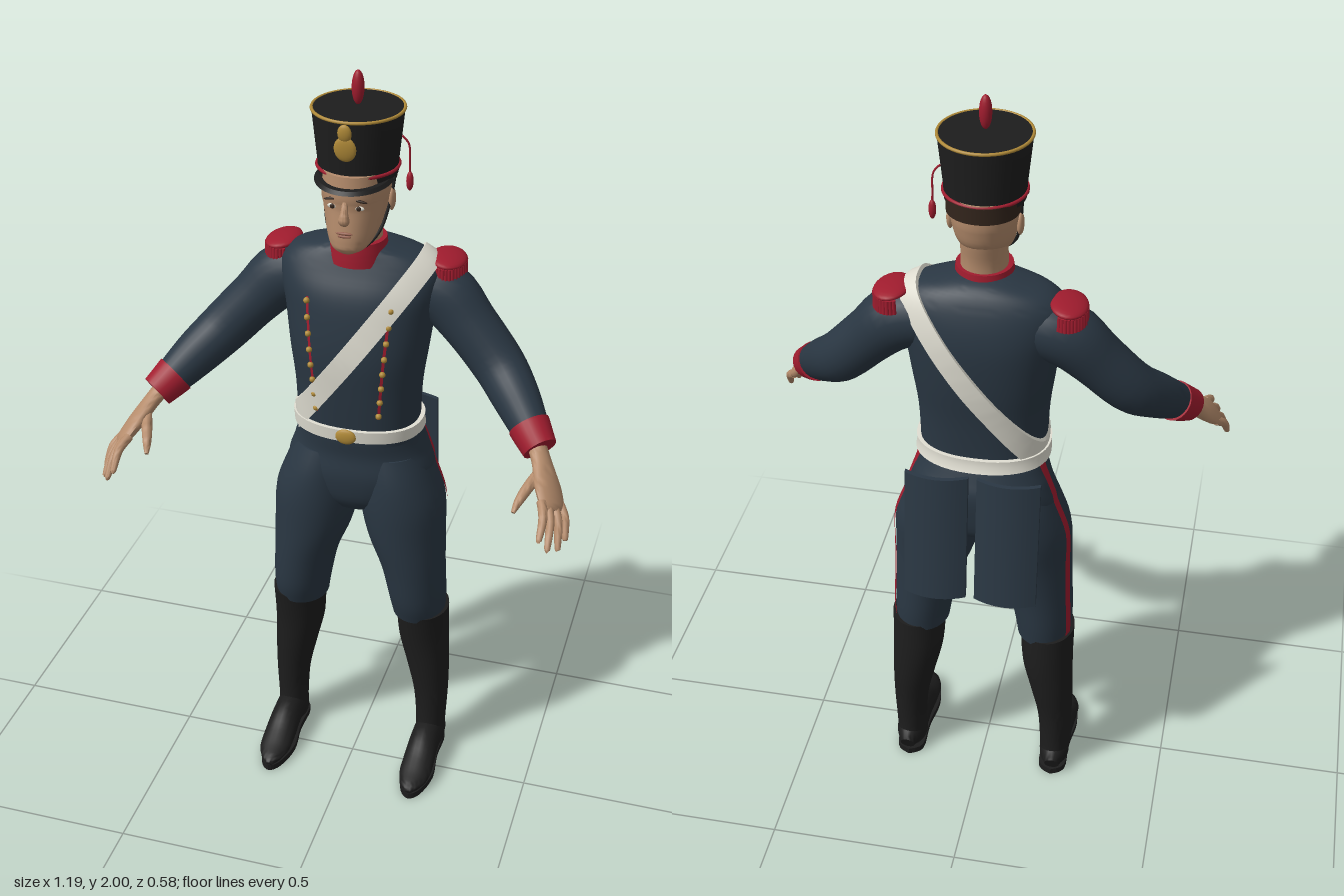
import * as THREE from 'three';
import { toCreasedNormals } from 'three/addons/utils/BufferGeometryUtils.js';

const V = (x, y, z) => new THREE.Vector3(x, y, z);
const mat = (name, color) => {
  const m = new THREE.MeshStandardMaterial({ color });
  m.name = name;
  return m;
};

export function createModel() {
  const navy = mat('navy cloth', 0x2a3743), red = mat('red trim', 0xa01c2e), black = mat('black leather', 0x1d1d1d);
  const white = mat('white leather', 0xe0ded2), gold = mat('brass', 0xb08a38), skin = mat('skin', 0xb58c6c);
  const lips = mat('lips', 0x94604e), hair = mat('dark hair', 0x33251c);

  const model = new THREE.Group();
  model.name = 'soldier';
  const left = new THREE.Group();
  left.name = 'leftSide';
  model.add(left);

  const add = (name, geo, m, pos, parent = model) => {
    const mesh = new THREE.Mesh(geo, m);
    mesh.name = name;
    if (pos) mesh.position.set(...pos);
    parent.add(mesh);
    return mesh;
  };

  // Surface through rows of points
  const skinRows = (rows, closed = true, crease = 0.9) => {
    const n = rows[0].length, idx = [];
    for (let i = 0; i < rows.length - 1; i++) {
      for (let j = 0; j < (closed ? n : n - 1); j++) {
        const k = (j + 1) % n, a = i * n + j, b = i * n + k, d = a + n, c = b + n;
        idx.push(a, b, d, b, c, d);
      }
    }
    const g = new THREE.BufferGeometry().setFromPoints(rows.flat());
    g.setIndex(idx);
    return toCreasedNormals(g, crease);
  };
  // Catmull-Rom resampling of number rows
  const smooth = (c, sub = 4) => {
    const out = [];
    for (let i = 0; i < c.length - 1; i++) {
      for (let s = 0; s < sub; s++) {
        const t = s / sub, p0 = c[Math.max(i - 1, 0)], p3 = c[Math.min(i + 2, c.length - 1)];
        out.push(c[i].map((p, k) => {
          const q = c[i + 1][k];
          return 0.5 * (2 * p + (q - p0[k]) * t + (2 * p0[k] - 5 * p + 4 * q - p3[k]) * t * t
            + (3 * p - p0[k] - 3 * q + p3[k]) * t * t * t);
        }));
      }
    }
    out.push(c[c.length - 1]);
    return out;
  };
  const capped = (rows, first, last) => [rows[0].map(() => first.clone()), ...rows, rows[0].map(() => last.clone())];
  const pw = (v, e) => Math.sign(v) * Math.abs(v) ** e;

  // Upright body from [y, centre x, half width, front z, back z]
  const body = (ctrl, e = 1, n = 32) => {
    const r = smooth(ctrl);
    const mid = ([y, x, , f, b]) => V(x, y, (f + b) / 2);
    const rows = r.map(([y, x, w, f, b]) => Array.from({ length: n }, (_, j) => {
      const a = j / n * Math.PI * 2;
      return V(x + w * pw(Math.cos(a), e), y, (f + b) / 2 - (f - b) / 2 * pw(Math.sin(a), e));
    }));
    return skinRows(capped(rows, mid(r[0]), mid(r[r.length - 1])));
  };
  // Limb along a path of [x, y, z, radius along side, radius across]
  const limb = (ctrl, side = V(0, 0, 1), n = 16) => {
    const r = smooth(ctrl), p = r.map(q => V(q[0], q[1], q[2]));
    const rows = r.map((q, i) => {
      const t = p[Math.min(i + 1, p.length - 1)].clone().sub(p[Math.max(i - 1, 0)]).normalize();
      const u = side.clone().addScaledVector(t, -side.dot(t)).normalize(), v = t.clone().cross(u);
      return Array.from({ length: n }, (_, j) => {
        const a = j / n * Math.PI * 2;
        return p[i].clone().addScaledVector(u, q[3] * Math.cos(a)).addScaledVector(v, q[4] * Math.sin(a));
      });
    });
    return skinRows(capped(rows, p[0], p[p.length - 1]));
  };

  // Ray helpers for laying trim on surfaces
  const ray = new THREE.Raycaster();
  const hit = (meshes, from, dir, lift) => {
    ray.set(from, dir);
    const h = ray.intersectObjects(meshes, false)[0];
    return h ? h.point.addScaledVector(dir, -lift) : null;
  };
  const strap = (meshes, c, u, v, w, lift, n = 72) => {
    const nrm = v.clone().cross(u), rows = [];
    for (let i = 0; i <= n; i++) {
      const a = i / n * Math.PI * 2, d = u.clone().multiplyScalar(Math.cos(a)).addScaledVector(v, Math.sin(a));
      const at = (k, l) => hit(meshes, c.clone().addScaledVector(nrm, k).add(d), d.clone().negate(), l);
      const row = [at(-w, -0.01), at(-w, lift), at(0, lift), at(w, lift), at(w, -0.01)];
      if (row.every(Boolean)) rows.push(row);
    }
    return skinRows(rows, true, 0.7);
  };
  const strip = (meshes, a, b, dir, w, lift, n = 24) => {
    const side = b.clone().sub(a).normalize().cross(dir.clone().negate()).multiplyScalar(w), rows = [];
    for (let i = 0; i <= n; i++) {
      const p = a.clone().lerp(b, i / n);
      const row = [-1, 0, 1].map(k => hit(meshes, p.clone().addScaledVector(side, k), dir, lift));
      if (row.every(Boolean)) rows.push(row);
    }
    return skinRows(rows, false);
  };

  // Jacket and hips
  const torso = add('jacket', body([
    [1.05, 0, 0.155, 0.045, -0.18], [1.1, 0, 0.158, 0.05, -0.178], [1.2, 0, 0.162, 0.06, -0.185],
    [1.3, 0, 0.175, 0.066, -0.198], [1.4, 0, 0.188, 0.055, -0.204], [1.46, 0, 0.2, 0.04, -0.198],
    [1.51, 0, 0.2, 0.015, -0.183], [1.545, 0, 0.165, -0.002, -0.165], [1.565, 0, 0.1, -0.01, -0.145],
    [1.575, 0, 0.06, -0.02, -0.12]], 0.85, 48), navy);
  const hips = add('hips', body([
    [0.83, 0, 0.08, 0, -0.15], [0.87, 0, 0.15, 0.025, -0.195], [0.94, 0, 0.192, 0.037, -0.21],
    [1.0, 0, 0.178, 0.032, -0.213], [1.04, 0, 0.165, 0.036, -0.198], [1.08, 0, 0.157, 0.042, -0.18]], 0.9, 40), navy);

  // Trouser leg, side stripe, boot
  const leg = add('trouserLeg', body([
    [0.49, 0.166, 0.071, 0, -0.163], [0.55, 0.162, 0.077, 0.02, -0.17], [0.65, 0.149, 0.086, 0.032, -0.175],
    [0.75, 0.128, 0.104, 0.04, -0.186], [0.85, 0.115, 0.112, 0.044, -0.202], [0.93, 0.102, 0.098, 0.038, -0.205],
    [1.0, 0.085, 0.085, 0.02, -0.19]]), navy, null, left);
  add('trouserStripe', strip([leg, hips], V(1, 0.5, -0.115), V(1, 1.07, -0.115), V(-1, 0, 0), 0.011, 0.004), red, null, left);
  add('boot', body([
    [0.03, 0.205, 0.04, -0.03, -0.152], [0.1, 0.205, 0.041, -0.043, -0.147], [0.2, 0.203, 0.047, -0.04, -0.152],
    [0.3, 0.192, 0.058, -0.03, -0.164], [0.4, 0.179, 0.068, -0.018, -0.17], [0.505, 0.176, 0.071, 0.002, -0.168]]), black, null, left);
  add('bootFoot', limb([
    [0.207, 0.04, -0.156, 0.02, 0.024], [0.206, 0.055, -0.11, 0.04, 0.046], [0.205, 0.06, -0.03, 0.041, 0.05],
    [0.205, 0.043, 0.04, 0.044, 0.032], [0.205, 0.032, 0.09, 0.042, 0.021], [0.203, 0.026, 0.13, 0.026, 0.013],
    [0.202, 0.022, 0.15, 0.008, 0.006]], V(1, 0, 0), 20), black, null, left);
  const sole = new THREE.Shape(new THREE.SplineCurve([[0, -0.158], [0.036, -0.13], [0.036, -0.04], [0.046, 0.05], [0.028, 0.125],
    [0, 0.152], [-0.028, 0.125], [-0.046, 0.05], [-0.036, -0.04], [-0.036, -0.13], [0, -0.158]].map(p => new THREE.Vector2(...p))).getPoints(40));
  add('bootSole', new THREE.ExtrudeGeometry(sole, { depth: 0.018, bevelEnabled: false }), black, [0.204, 0, 0], left).rotation.x = Math.PI / 2;
  left.children[left.children.length - 1].position.y = 0.018;

  // Sleeve and cuff
  add('sleeve', limb([
    [0.1, 1.46, -0.1, 0.07, 0.07], [0.2, 1.44, -0.1, 0.074, 0.08], [0.275, 1.37, -0.085, 0.066, 0.07],
    [0.355, 1.285, -0.06, 0.062, 0.066], [0.41, 1.232, -0.01, 0.056, 0.06], [0.455, 1.187, 0.04, 0.045, 0.05],
    [0.488, 1.155, 0.077, 0.036, 0.04]], V(0, 0, 1), 24), navy, null, left);
  add('cuff', limb([[0.457, 1.185, 0.042, 0.05, 0.053], [0.474, 1.168, 0.061, 0.046, 0.049], [0.494, 1.149, 0.083, 0.04, 0.044]],
    V(0, 0, 1), 24), red, null, left);

  // Hand with four fingers and a thumb
  const spread = V(-0.55, 0.4, 0.75);
  add('palm', limb([[0.48, 1.16, 0.07, 0.026, 0.022], [0.503, 1.13, 0.105, 0.029, 0.02], [0.528, 1.093, 0.15, 0.043, 0.019],
    [0.548, 1.063, 0.187, 0.041, 0.015], [0.555, 1.053, 0.198, 0.032, 0.009]], spread), skin, null, left);
  [[0.589, 0.992, 0.212], [0.578, 0.986, 0.248], [0.558, 1.0, 0.277], [0.538, 1.026, 0.284]].forEach(([x, y, z], i) => {
    const k = (i - 1.5) * 0.021, b = [0.543 - 0.55 * k, 1.067 + 0.4 * k, 0.182 + 0.75 * k];
    add('finger', limb([[...b, 0.012, 0.012], [(b[0] + x) / 2 + 0.006, (b[1] + y) / 2 + 0.008, (b[2] + z) / 2, 0.011, 0.011],
      [x, y, z, 0.0075, 0.0075], [x + 0.001, y - 0.004, z + 0.003, 0.003, 0.003]], spread, 10), skin, null, left);
  });
  add('thumb', limb([[0.51, 1.12, 0.12, 0.014, 0.014], [0.488, 1.098, 0.175, 0.015, 0.014], [0.473, 1.078, 0.215, 0.011, 0.011],
    [0.465, 1.06, 0.24, 0.005, 0.005]], V(0, 1, 0), 10), skin, null, left);

  // Epaulette with hanging fringe
  const pad = add('epaulette', new THREE.SphereGeometry(1, 24, 12), red, [0.21, 1.528, -0.112], left);
  pad.scale.set(0.045, 0.014, 0.063);
  pad.rotation.z = -0.12;
  for (let i = 0; i < 22; i++) {
    const a = (i / 21 - 0.5) * Math.PI * 1.25;
    add('epauletteFringe', new THREE.CylinderGeometry(0.005, 0.006, 0.036, 6), red,
      [0.21 + 0.041 * Math.cos(a), 1.505, -0.112 + 0.058 * Math.sin(a)], left);
  }

  // Button row with piping
  const back = V(0, 0, -1);
  add('frontPiping', strip([torso], V(0.08, 1.14, 1), V(0.105, 1.45, 1), back, 0.0035, 0.003), red, null, left);
  for (let i = 0; i < 8; i++) {
    const t = i / 7, p = hit([torso], V(0.081 + 0.025 * t, 1.15 + 0.29 * t, 1), back, 0.004);
    add('button', new THREE.SphereGeometry(0.008, 10, 8), gold, p.toArray(), left);
  }

  // Coat tail panel, bowed and leaning back
  const tail = new THREE.BoxGeometry(0.158, 0.345, 0.012, 10, 4, 1), tp = tail.attributes.position;
  for (let i = 0; i < tp.count; i++) {
    const x = tp.getX(i), t = 0.5 - tp.getY(i) / 0.345;
    tp.setZ(i, tp.getZ(i) - 0.216 - 0.045 * t - 0.02 * (1 - (x / 0.079) ** 2));
  }
  add('coatTail', toCreasedNormals(tail, 0.6), navy, [0.09, 0.898, 0], left);

  // Straps and buckle
  add('waistBelt', strap([torso, hips], V(0, 1.085, -0.065), V(1, 0, 0), V(0, 0, 1), 0.017, 0.011), white);
  const u = V(0.265, 0.37, 0).normalize();
  add('crossBelt', strap([torso], V(0.011, 1.315, -0.07), u, V(0, 0, 1), 0.027, 0.01, 96), white);
  const buckle = add('buckle', new THREE.SphereGeometry(1, 20, 12), gold, [0, 1.086, 0.063]);
  buckle.scale.set(0.027, 0.021, 0.008);

  // Collar, neck and head
  add('neck', body([[1.52, 0, 0.058, -0.01, -0.12], [1.6, 0, 0.056, 0, -0.118], [1.66, 0, 0.056, 0, -0.13], [1.72, 0, 0.06, 0, -0.14]]), skin);
  add('collar', body([[1.53, 0, 0.076, 0.02, -0.135], [1.56, 0, 0.072, 0.018, -0.13], [1.588, 0, 0.068, 0.014, -0.126]]), red);
  const head = add('head', body([
    [1.585, 0, 0.022, 0.056, 0.0], [1.598, 0, 0.044, 0.069, -0.03], [1.625, 0, 0.06, 0.071, -0.085],
    [1.66, 0, 0.071, 0.068, -0.13], [1.7, 0, 0.079, 0.064, -0.145], [1.73, 0, 0.082, 0.068, -0.15],
    [1.78, 0, 0.082, 0.064, -0.15]], 0.95), skin);
  add('hair', body([[1.735, 0, 0.085, 0.0, -0.154], [1.775, 0, 0.086, 0.01, -0.155]]), hair);
  add('nose', limb([[0, 1.722, 0.06, 0.007, 0.006], [0, 1.695, 0.069, 0.009, 0.011], [0, 1.677, 0.073, 0.014, 0.013],
    [0, 1.665, 0.066, 0.009, 0.006]], V(1, 0, 0), 12), skin);
  const dot = (name, m, x, y, sx, sy, sz, lift, parent) => {
    const e = add(name, new THREE.SphereGeometry(1, 14, 10), m, hit([head], V(x, y, 1), back, lift).toArray(), parent);
    e.scale.set(sx, sy, sz);
    return e;
  };
  dot('upperLip', lips, 0, 1.643, 0.021, 0.004, 0.004, 0);
  dot('lowerLip', lips, 0, 1.636, 0.017, 0.004, 0.004, 0);
  dot('eyeWhite', white, 0.032, 1.705, 0.013, 0.006, 0.004, 0, left);
  dot('iris', hair, 0.032, 1.705, 0.006, 0.006, 0.003, 0.003, left);
  dot('eyebrow', hair, 0.034, 1.724, 0.019, 0.0035, 0.004, 0, left).rotation.z = -0.15;
  const ear = add('ear', new THREE.SphereGeometry(1, 14, 10), skin, [0.082, 1.693, -0.05], left);
  ear.scale.set(0.009, 0.029, 0.017);

  // Tall cap with visor, bands, plate and plume
  const hatZ = -0.047;
  const profile = [[0, 1.758], [0.095, 1.758], [0.096, 1.79], [0.108, 1.905], [0.108, 1.914], [0, 1.916]].map(p => new THREE.Vector2(...p));
  add('cap', toCreasedNormals(new THREE.LatheGeometry(profile, 48), 0.6), black, [0, 0, hatZ]).scale.z = 1.04;
  const band = (name, m, r, y, t) => {
    const b = add(name, new THREE.TorusGeometry(r, t, 8, 48), m, [0, y, hatZ]);
    b.rotation.x = Math.PI / 2;
    b.scale.y = 1.04;
  };
  band('capTopTrim', gold, 0.108, 1.912, 0.004);
  band('capBand', red, 0.0965, 1.775, 0.0045);
  const visor = new THREE.CylinderGeometry(0.1, 0.108, 0.008, 32, 1, false, -Math.PI / 2, Math.PI);
  const visorMesh = add('visor', visor, black, [0, 1.757, -0.02]);
  visorMesh.scale.set(0.88, 1, 1);
  visorMesh.rotation.x = 0.08;
  [[1.848, 0.027, 0.031, 0.066], [1.887, 0.017, 0.022, 0.07]].forEach(([y, w, h, z]) => {
    const plate = add('capPlate', new THREE.SphereGeometry(1, 18, 12), gold, [0, y, z - 0.004]);
    plate.scale.set(w, h, 0.008);
    plate.rotation.x = 0.1;
  });
  add('plume', new THREE.SphereGeometry(1, 16, 14), red, [0, 1.959, hatZ + 0.003]).scale.set(0.015, 0.041, 0.015);

  // Hanging cord with tassel, and chin strap
  const tube = (pts, r) => new THREE.TubeGeometry(new THREE.CatmullRomCurve3(pts.map(p => V(...p))), 24, r, 6);
  add('capCord', tube([[0.096, 1.84, -0.08], [0.112, 1.82, -0.083], [0.115, 1.77, -0.084], [0.116, 1.73, -0.084]], 0.0025), red);
  add('capTassel', new THREE.SphereGeometry(1, 12, 10), red, [0.116, 1.727, -0.084]).scale.set(0.009, 0.024, 0.009);
  add('chinStrap', tube([[0.088, 1.765, -0.062], [0.08, 1.69, -0.04], [0.064, 1.625, -0.008], [0.035, 1.592, 0.015], [0, 1.583, 0.025]], 0.004), black, null, left);

  // Mirror every paired part
  const right = left.clone();
  right.name = 'rightSide';
  right.scale.x = -1;
  model.add(right);
  return model;
}
